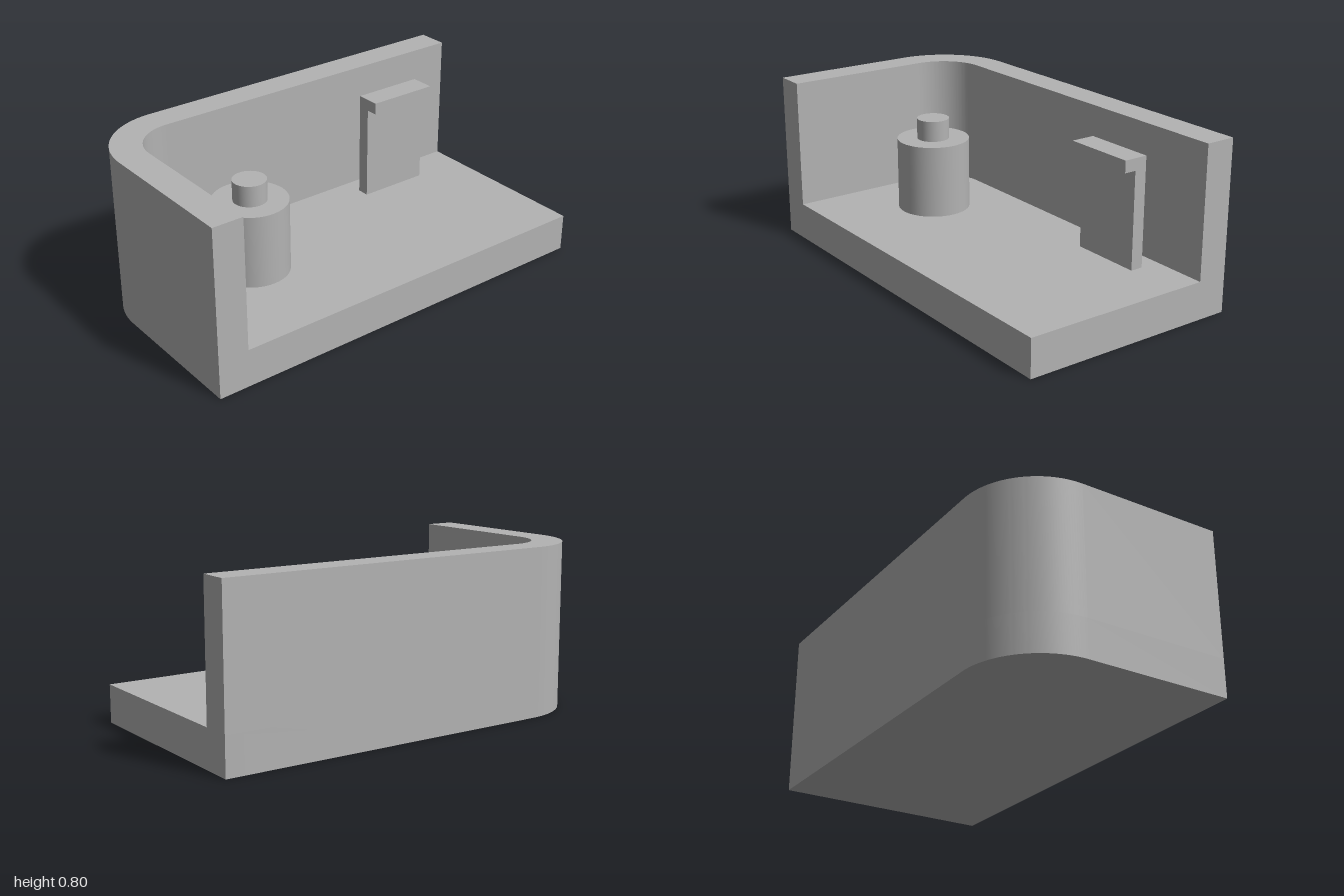
import * as THREE from 'three';
import { toCreasedNormals } from 'three/addons/utils/BufferGeometryUtils.js';

const W = 0.53, L = 1, H = 0.8;      // half width, half length, height
const FLOOR = 0.18, WALL = 0.145;    // floor and wall thickness
const R = 0.355;                     // outer corner radius

export function createModel() {
  const group = new THREE.Group();
  const grey = new THREE.MeshStandardMaterial({ color: 0xb3b3b3 });
  grey.name = 'grey';

  const add = (name, geometry, x = 0, y = 0, z = 0) => {
    const mesh = new THREE.Mesh(geometry, grey);
    mesh.name = name;
    mesh.position.set(x, y, z);
    group.add(mesh);
  };

  // Plan outline (shape y = -z) extruded upwards, smooth round the corner only
  const rise = (shape, height) => {
    const g = new THREE.ExtrudeGeometry(shape, { depth: height, bevelEnabled: false, curveSegments: 24 });
    return toCreasedNormals(g.rotateX(-Math.PI / 2), 0.5);
  };

  // Floor: rectangle with one rounded corner at the front right
  const floor = new THREE.Shape();
  floor.moveTo(W, L);
  floor.lineTo(-W, L);
  floor.lineTo(-W, -L + R);
  floor.absarc(-W + R, -L + R, R, Math.PI, Math.PI * 1.5, false);
  floor.lineTo(W, -L);
  floor.closePath();
  add('floor', rise(floor, FLOOR));

  // L-shaped wall along the right side and the front
  const wall = new THREE.Shape();
  wall.moveTo(-W, L);
  wall.lineTo(-W, -L + R);
  wall.absarc(-W + R, -L + R, R, Math.PI, Math.PI * 1.5, false);
  wall.lineTo(W, -L);
  wall.lineTo(W, -L + WALL);
  wall.lineTo(-W + R, -L + WALL);
  wall.absarc(-W + R, -L + R, R - WALL, Math.PI * 1.5, Math.PI, true);
  wall.lineTo(-W + WALL, L);
  wall.closePath();
  add('wall', rise(wall, H - FLOOR), 0, FLOOR, 0);

  // Stepped round post
  const cylinder = (r, h) => new THREE.CylinderGeometry(r, r, h, 48);
  add('postBase', cylinder(0.175, 0.35), 0, FLOOR + 0.175, 0.47);
  add('postPin', cylinder(0.078, 0.1), 0, 0.58, 0.47);

  // Clip: upright plate with a lip pointing inwards, one hooked profile
  const clip = new THREE.Shape([
    [-0.29, FLOOR], [-0.23, FLOOR], [-0.23, 0.64], [-0.172, 0.64], [-0.172, 0.697], [-0.29, 0.697],
  ].map(([x, y]) => new THREE.Vector2(x, y)));
  add('clip', new THREE.ExtrudeGeometry(clip, { depth: 0.35, bevelEnabled: false }), 0, 0, -0.735);

  return group;
}
